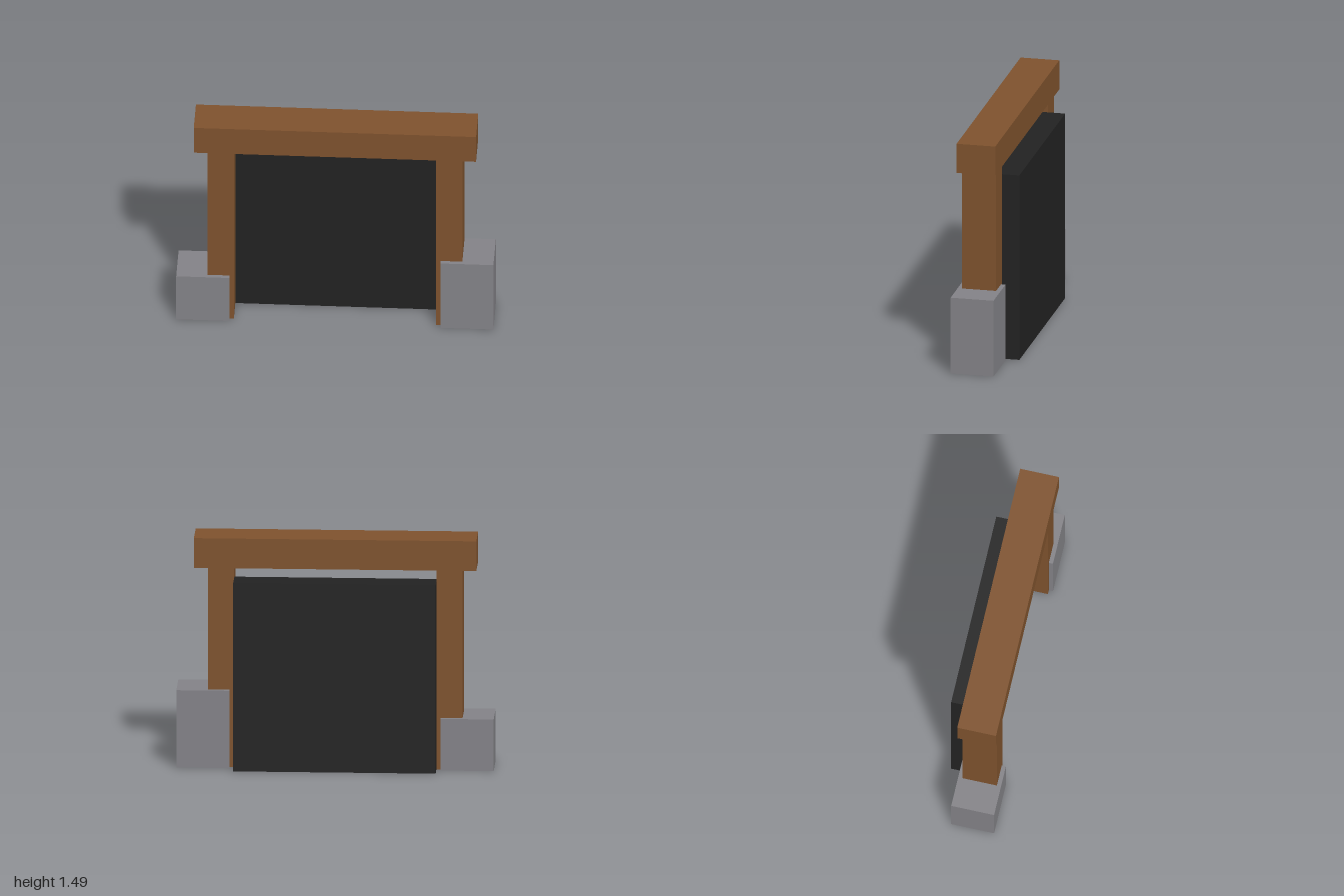
import * as THREE from 'three';

export function createModel() {
  const model = new THREE.Group();
  model.name = 'fireplaceSurround';

  const material = (name, color) => {
    const m = new THREE.MeshStandardMaterial({ color });
    m.name = name;
    return m;
  };
  const wood = material('brown wood', 0x7e522d);
  const stone = material('grey stone', 0x838287);
  const soot = material('black backing', 0x222222);

  // Box given by its extents on each axis
  const block = (name, mat, [x0, x1], [y0, y1], [z0, z1]) => {
    const mesh = new THREE.Mesh(new THREE.BoxGeometry(x1 - x0, y1 - y0, z1 - z0), mat);
    mesh.position.set((x0 + x1) / 2, (y0 + y1) / 2, (z0 + z1) / 2);
    mesh.name = name;
    model.add(mesh);
  };

  // Back panel, set partly between the posts
  block('backPanel', soot, [-0.638, 0.638], [0, 1.223], [-0.18, -0.013]);

  // Top beam
  block('mantelBeam', wood, [-0.89, 0.89], [1.295, 1.488], [-0.083, 0.167]);

  // Posts, each standing in a stone block; the left stone is taller
  for (const [side, s, stoneHeight] of [['left', 1, 0.502], ['right', -1, 0.335]]) {
    const span = (a, b) => (s > 0 ? [a, b] : [-b, -a]);
    block(side + 'Post', wood, span(0.638, 0.803), [0, 1.295], [-0.068, 0.153]);
    block(side + 'Stone', stone, span(0.665, 1), [0, stoneHeight], [-0.097, 0.18]);
  }

  return model;
}
